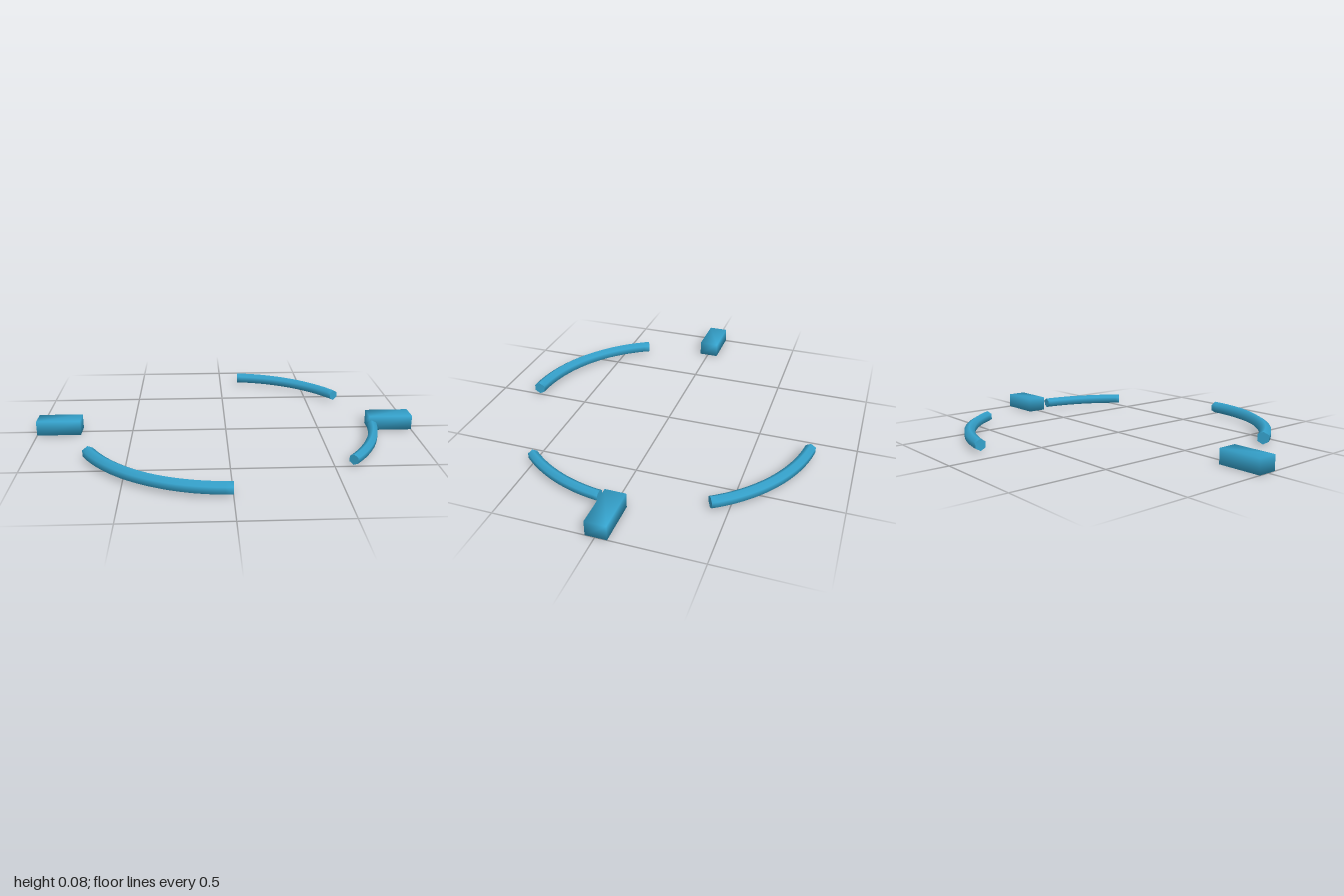
import * as THREE from 'three';
import { mergeVertices } from 'three/addons/utils/BufferGeometryUtils.js';

const RING_RADIUS = 0.78;
const MID_Y = 0.0385;
const CENTRE_Z = -0.005;

// Weld shared corners so the shading runs smoothly across every edge
function weld(geometry) {
  geometry.deleteAttribute('normal');
  geometry.deleteAttribute('uv');
  const welded = mergeVertices(geometry, 1e-5);
  welded.computeVertexNormals();
  return welded;
}

// Six-sided bar swept along the ring; angles in degrees from +x towards +z
function makeArc(name, from, to, radius, material) {
  const arc = new THREE.Group();
  arc.name = name;
  const phiStart = Math.PI / 2 - THREE.MathUtils.degToRad(to);
  const phiLength = THREE.MathUtils.degToRad(to - from);

  const profile = [];
  for (let i = 0; i <= 6; i++) {
    const a = Math.PI / 2 + (i % 6) * Math.PI / 3;
    profile.push(new THREE.Vector2(RING_RADIUS + radius * Math.cos(a), radius * Math.sin(a)));
  }
  const bar = new THREE.Mesh(
    weld(new THREE.LatheGeometry(profile, 24, phiStart, phiLength)), material);
  bar.name = name + 'Bar';
  arc.add(bar);

  // Flat hexagonal ends
  for (const [phi, side] of [[phiStart, -1], [phiStart + phiLength, 1]]) {
    const cap = new THREE.Mesh(new THREE.CircleGeometry(radius, 6, Math.PI / 2), material);
    cap.name = name + 'End';
    cap.position.set(RING_RADIUS * Math.sin(phi), 0, RING_RADIUS * Math.cos(phi));
    cap.rotation.y = phi + side * Math.PI / 2;
    arc.add(cap);
  }
  return arc;
}

export function createModel() {
  const model = new THREE.Group();
  model.name = 'brokenRing';
  const blue = new THREE.MeshStandardMaterial({ color: 0x35a2cc });

  // Three arcs of a broken ring, each a little thinner than the last
  const ring = new THREE.Group();
  ring.name = 'ringArcs';
  ring.add(
    makeArc('frontArc', 90, 151.8, 0.033, blue),
    makeArc('backArc', -82, -31.8, 0.03, blue),
    makeArc('sideArc', 5.6, 41.2, 0.027, blue),
  );
  ring.position.set(0, MID_Y, CENTRE_Z);
  model.add(ring);

  // Side marker blocks
  const blockGeometry = weld(new THREE.BoxGeometry(0.23, 2 * MID_Y, 0.104));
  for (const side of [-1, 1]) {
    const block = new THREE.Mesh(blockGeometry, blue);
    block.name = side > 0 ? 'leftBlock' : 'rightBlock';
    block.position.set(side * 0.885, MID_Y, CENTRE_Z);
    model.add(block);
  }
  return model;
}
